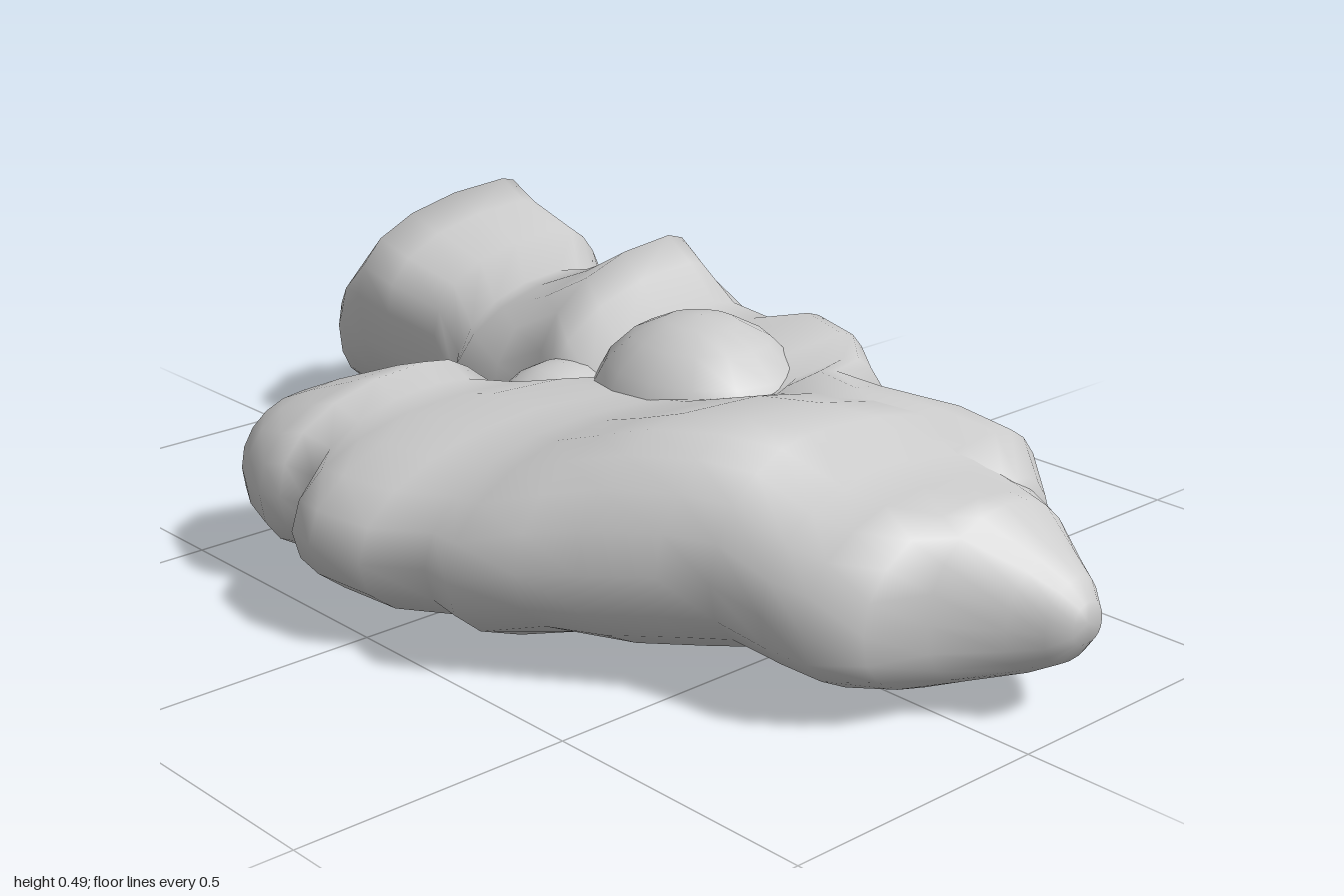
import * as THREE from 'three';

const material = new THREE.MeshStandardMaterial({ color: 0xcccccc });
const SIDES = 20;

// Fuller-than-elliptic curve for the underside of the cross-sections
const full = (v, power) => Math.sign(v) * Math.pow(Math.abs(v), power);

// Closed smooth skin through sections
// [x, zBack, zFront, yBottom, yTop, zOfCrest, relative height of the widest line]
function loft(name, sections) {
  const pos = [], index = [];
  for (const [x, z0, z1, y0, y1, crest, waist = 0.46] of sections) {
    const mid = (z0 + z1) / 2, ym = y0 + (y1 - y0) * waist;
    for (let j = 0; j < SIDES; j++) {
      const a = (j / SIDES) * Math.PI * 2;
      const power = Math.sin(a) > 0 ? 0.95 : 0.82;
      const c = full(Math.cos(a), power), s = full(Math.sin(a), power);
      const zc = mid + (crest - mid) * Math.max(0, s);
      pos.push(x, ym + s * (s > 0 ? y1 - ym : ym - y0), zc + c * (c > 0 ? z1 - zc : zc - z0));
    }
  }
  const last = sections.length - 1;
  for (let i = 0; i < last; i++) {
    for (let j = 0; j < SIDES; j++) {
      const k = (j + 1) % SIDES, p = i * SIDES, q = p + SIDES;
      index.push(p + j, q + j, p + k, q + j, q + k, p + k);
    }
  }
  // Blunt end caps
  for (const i of [0, last]) {
    const [x, z0, z1, y0, y1] = sections[i];
    const center = pos.length / 3;
    pos.push(x, (y0 + y1) / 2, (z0 + z1) / 2);
    for (let j = 0; j < SIDES; j++) {
      const a = i * SIDES + j, b = i * SIDES + ((j + 1) % SIDES);
      if (i === 0) index.push(center, a, b);
      else index.push(center, b, a);
    }
  }
  const g = new THREE.BufferGeometry();
  g.setAttribute('position', new THREE.Float32BufferAttribute(pos, 3));
  g.setIndex(index);
  g.computeVertexNormals();
  const mesh = new THREE.Mesh(g, material);
  mesh.name = name;
  return mesh;
}

// Soft swelling sitting in the surface
function lump(name, [x, y, z], [rx, ry, rz]) {
  const mesh = new THREE.Mesh(new THREE.SphereGeometry(1, 14, 10), material);
  mesh.position.set(x, y, z);
  mesh.scale.set(rx, ry, rz);
  mesh.name = name;
  return mesh;
}

export function createModel() {
  const group = new THREE.Group();
  group.name = 'lumpyMass';

  // Long arm along the back, running on into the body's rear shoulder
  group.add(loft('backArm', [
    [-1.0, -0.36, -0.25, 0.11, 0.27, -0.30],
    [-0.97, -0.39, -0.17, 0.08, 0.30, -0.28, 0.5],
    [-0.92, -0.45, -0.12, 0.05, 0.34, -0.33, 0.52],
    [-0.88, -0.56, -0.10, 0.04, 0.39, -0.44, 0.58],
    [-0.82, -0.58, -0.10, 0.03, 0.47, -0.48, 0.6],
    [-0.73, -0.56, -0.105, 0.04, 0.445, -0.46, 0.58],
    [-0.60, -0.565, -0.12, 0.05, 0.415, -0.44, 0.56],
    [-0.50, -0.51, -0.09, 0.05, 0.365, -0.36],
    [-0.42, -0.495, -0.02, 0.045, 0.385, -0.36],
    [-0.31, -0.50, -0.03, 0.03, 0.435, -0.38],
    [-0.22, -0.51, -0.06, 0.05, 0.49, -0.39],
    [-0.15, -0.495, -0.02, 0.03, 0.455, -0.38],
    [-0.07, -0.53, 0.0, 0.02, 0.395, -0.37],
    [0.02, -0.53, 0.0, 0.005, 0.385, -0.38],
    [0.12, -0.52, 0.0, 0.02, 0.41, -0.42],
    [0.22, -0.51, 0.0, 0.03, 0.40, -0.40],
    [0.28, -0.48, 0.0, 0.03, 0.38, -0.34],
    [0.32, -0.375, 0.0, 0.03, 0.39, -0.24],
    [0.46, -0.36, 0.0, 0.03, 0.41, -0.18],
    [0.57, -0.43, 0.0, 0.05, 0.385, -0.26],
    [0.66, -0.43, -0.08, 0.06, 0.36, -0.30],
    [0.76, -0.33, -0.14, 0.10, 0.32, -0.24],
  ]));

  // Broad front body running out to the left tip
  group.add(loft('frontBody', [
    [-0.435, 0.29, 0.41, 0.15, 0.27, 0.35],
    [-0.40, 0.17, 0.47, 0.09, 0.30, 0.33],
    [-0.36, 0.08, 0.49, 0.06, 0.32, 0.28],
    [-0.28, 0.03, 0.515, 0.04, 0.35, 0.21],
    [-0.24, 0.01, 0.50, 0.04, 0.36, 0.18],
    [-0.19, -0.02, 0.475, 0.04, 0.335, 0.19],
    [-0.12, -0.20, 0.56, 0.04, 0.335, 0.20],
    [-0.05, -0.28, 0.575, 0.03, 0.35, 0.18],
    [0.06, -0.34, 0.555, 0.02, 0.35, 0.17],
    [0.15, -0.36, 0.49, 0.02, 0.355, 0.15],
    [0.23, -0.36, 0.51, 0.02, 0.375, 0.17],
    [0.32, -0.36, 0.445, 0.04, 0.405, 0.18],
    [0.40, -0.35, 0.385, 0.03, 0.43, 0.16],
    [0.50, -0.37, 0.31, 0.04, 0.435, 0.11],
    [0.57, -0.41, 0.26, 0.05, 0.415, 0.04],
    [0.66, -0.41, 0.24, 0.04, 0.365, -0.02],
    [0.74, -0.35, 0.23, 0.04, 0.355, -0.03],
    [0.81, -0.30, 0.17, 0.05, 0.345, -0.08],
    [0.84, -0.28, 0.06, 0.05, 0.335, -0.11],
    [0.92, -0.225, -0.03, 0.08, 0.28, -0.13],
    [0.97, -0.19, -0.06, 0.11, 0.25, -0.135],
    [1.0, -0.16, -0.09, 0.15, 0.22, -0.125],
  ]));

  // Low swellings where the arm and body flow together
  group.add(lump('middleLump', [0.10, 0.25, -0.17], [0.22, 0.205, 0.20]));
  group.add(lump('innerLump', [-0.12, 0.20, -0.04], [0.14, 0.14, 0.15]));
  return group;
}
